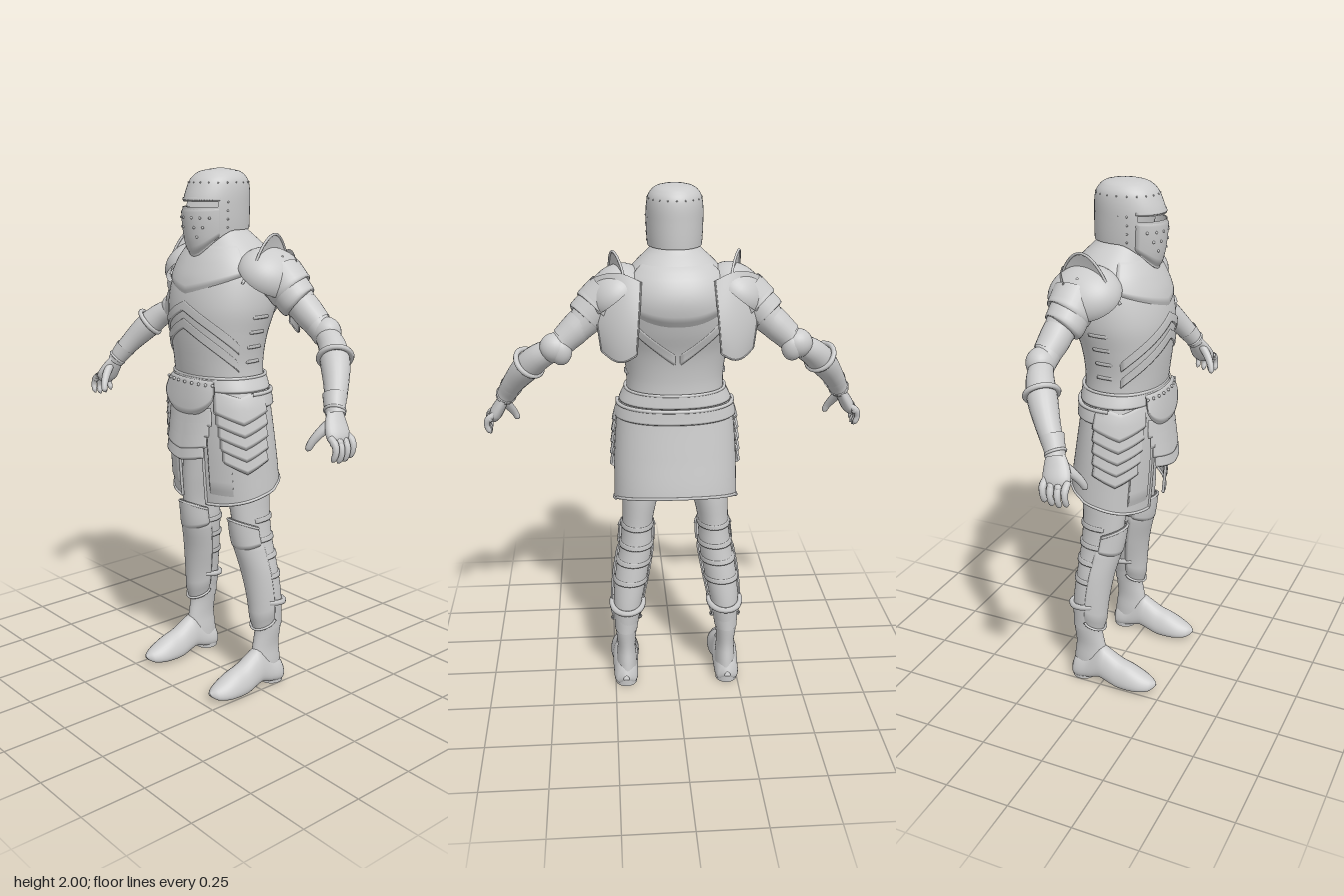
import * as THREE from 'three';
import { ParametricGeometry } from 'three/addons/geometries/ParametricGeometry.js';

const steel = new THREE.MeshStandardMaterial({ color: 0xcccccc, side: THREE.DoubleSide });
const V = (x, y, z) => new THREE.Vector3(x, y, z);
const PI = Math.PI, TAU = PI * 2;
const val = (f, t) => (typeof f === 'function' ? f(t) : f);
const pow = (n, e) => Math.sign(n) * Math.abs(n) ** e;

// Smooth interpolation of rows keyed by their first column
function sample(rows, k) {
  let i = 0;
  while (i < rows.length - 2 && k > rows[i + 1][0]) i++;
  const a = rows[i], b = rows[i + 1], p = rows[i - 1] || a, q = rows[i + 2] || b;
  const h = b[0] - a[0], t = Math.min(1, Math.max(0, (k - a[0]) / h)), t2 = t * t, t3 = t2 * t;
  return a.map((_, c) => {
    const m0 = (b[c] - p[c]) / (b[0] - p[0]) * h, m1 = (q[c] - a[c]) / (q[0] - a[0]) * h;
    return (2 * t3 - 3 * t2 + 1) * a[c] + (t3 - 2 * t2 + t) * m0 + (3 * t2 - 2 * t3) * b[c] + (t3 - t2) * m1;
  });
}

// Body surface from rows [y, halfWidth, zFront, zBack, xCentre]; angle 0 is the front
const skin = (rows, e = 1) => (th, y, o = 0) => {
  const [, w, zf, zb, cx = 0] = sample(rows, y);
  return V(cx + (w + o) * pow(Math.sin(th), e), y, (zf + zb) / 2 + ((zf - zb) / 2 + o) * pow(Math.cos(th), e));
};

function add(parent, name, geo) {
  const m = new THREE.Mesh(geo, steel);
  m.name = name;
  parent.add(m);
  return m;
}
const surf = (g, name, f, nu = 32, nv = 14) =>
  add(g, name, new ParametricGeometry((u, v, t) => t.copy(f(u, v)), nu, nv));

// Plate lying on a skin, with a bevelled rim and optional flare at its lower edge
function plate(g, name, sk, t0, t1, lo, hi, o = 0.01, flare = 0, nu = 28, nv = 10) {
  const closed = t1 - t0 > 6.2;
  return surf(g, name, (u, v) => {
    const rim = Math.min(1, closed ? 1 : Math.min(u, 1 - u) * nu, Math.min(v, 1 - v) * nv);
    const a = val(lo, u), y = a + (val(hi, u) - a) * v;
    return sk(t0 + (t1 - t0) * u, y, (o + flare * (1 - v)) - 0.009 * (1 - rim));
  }, nu, nv);
}

// Round limb through points [x, y, z, radius]
function limb(g, name, pts, nu = 20, nv = 24, flat = 1) {
  const curve = new THREE.CatmullRomCurve3(pts.map((p) => V(p[0], p[1], p[2])));
  const radii = pts.map((p, i) => [i / (pts.length - 1), p[3]]);
  return surf(g, name, (u, v) => {
    const t = curve.getTangent(v), n = V(0, 0, 1).cross(t).normalize(), b = t.clone().cross(n);
    const r = sample(radii, v)[1], a = u * TAU;
    return curve.getPoint(v).addScaledVector(n, Math.cos(a) * r * flat).addScaledVector(b, Math.sin(a) * r);
  }, nu, nv);
}
function ring(g, name, p, dir, R, r) {
  const m = add(g, name, new THREE.TorusGeometry(R, r, 8, 28));
  m.position.set(...p);
  m.lookAt(V(...p).add(V(...dir)));
}
function ball(g, name, r, pos, scale) {
  const m = add(g, name, new THREE.SphereGeometry(r, 24, 16));
  m.position.set(...pos);
  m.scale.set(...scale);
}
const cord = (g, name, f, r, n = 40) => add(g, name, new THREE.TubeGeometry(
  new THREE.CatmullRomCurve3(Array.from({ length: n + 1 }, (_, i) => f(i / n))), n * 2, r, 6));
const rivet = (g, p, r = 0.005) => add(g, 'rivet', new THREE.SphereGeometry(r, 8, 6)).position.copy(p);
const peak = (u) => 1 - Math.abs(2 * u - 1);

const torso = skin([[1.2, .185, .15, -.14], [1.3, .184, .163, -.14], [1.4, .198, .174, -.155], [1.5, .215, .178, -.19],
  [1.6, .21, .16, -.212], [1.67, .19, .13, -.195], [1.73, .14, .095, -.15], [1.78, .085, .07, -.1], [1.82, .06, .05, -.075]], .92);
const skirt = skin([[.74, .24, .135, -.195], [.86, .238, .145, -.19], [1, .234, .153, -.17], [1.14, .222, .156, -.15],
  [1.2, .207, .154, -.145], [1.25, .184, .15, -.14]], .9);
const helm = skin([[1.68, .078, .128, -.1], [1.76, .097, .147, -.112], [1.87, .104, .153, -.114], [1.94, .1, .13, -.11],
  [1.97, .087, .108, -.095], [1.99, .058, .072, -.065], [2, .003, .003, -.003]], .97);
const leg = skin([[.24, .045, -.01, -.135, .203], [.36, .056, -.002, -.135, .195], [.48, .064, .015, -.125, .178],
  [.6, .063, .045, -.115, .157], [.7, .06, .06, -.11, .15], [.82, .07, .07, -.115, .135], [1.05, .08, .07, -.11, .1]]);

function buildHelmet(g) {
  const hem = (u) => 1.78 - .095 * Math.max(0, Math.cos(u * TAU)) ** 1.6;
  const at = (lo, hi) => (u, v) => helm(u * TAU, val(lo, u) + (hi - val(lo, u)) * v);
  surf(g, 'helmetLower', at(hem, 1.863), 48, 14);
  surf(g, 'helmetCrown', at(1.881, 2), 48, 20);
  // Open eye slit between the cheeks
  surf(g, 'helmetBand', (u, v) => helm(1.05 + u * (TAU - 2.1), 1.863 + .018 * v), 40, 2);
  plate(g, 'visor', helm, -1.15, 1.15, (u) => hem((u * 2.3 - 1.15) / TAU), 1.861, .005);
  plate(g, 'browBand', helm, -1.15, 1.15, 1.882, 1.898, .003, 0, 28, 4);
  for (let i = 0; i < 20; i++) rivet(g, helm(i / 20 * TAU, 1.948), .003);
  for (const s of [-1, 1]) {
    for (let r = 0; r < 3; r++) for (let k = 0; k < 3 - r; k++)
      rivet(g, helm(s * (.2 + k * .3 + r * .08), 1.825 - r * .034, .005));
    for (let r = 0; r < 4; r++) rivet(g, helm(s * 1.35, 1.79 + r * .03), .004);
  }
}

function buildTorso(g) {
  surf(g, 'cuirass', (u, v) => torso(u * TAU, 1.2 + .62 * v), 56, 30);
  // Chevron bands below the upper breastplate
  [1.465, 1.53].forEach((y) => plate(g, 'chestChevron', torso, -1.3, 1.3,
    (u) => y - .2 + .16 * peak(u) ** .9, (u) => y - .16 + .16 * peak(u) ** .9, .006, 0, 40));
  plate(g, 'upperBreastplate', torso, -1.15, 1.15, (u) => 1.62 - .075 * peak(u), 1.73, .005, 0, 40);
  plate(g, 'upperBackplate', torso, PI - 1.1, PI + 1.1, (u) => 1.59 - .07 * Math.sin(u * PI), 1.73, .008, 0, 40);
  for (const s of [-1, 1]) {
    plate(g, 'backStrap', (t, y, o) => torso(PI + s * t, y, o), .02, 1.25,
      (u) => 1.36 + .2 * u, (u) => 1.41 + .2 * u, .006, 0, 30, 6);
    for (let i = 0; i < 4; i++)
      plate(g, 'sideStrap', torso, s * 1.65 - .2, s * 1.65 + .2, 1.3 + i * .055, 1.315 + i * .055, .007, 0, 8, 4);
  }
  limb(g, 'neck', [[0, 1.72, -.02, .06], [0, 1.77, -.01, .065], [0, 1.83, 0, .06], [0, 1.835, 0, .002]]);
}

function buildSkirt(g) {
  const t0 = .27, span = TAU - 2 * t0;
  const hem = (u) => .796 - .048 * Math.cos(t0 + u * span) + (Math.abs(u - .5) < .22 ? .006 : 0);
  surf(g, 'skirt', (u, v) => skirt(t0 + u * span, hem(u) + (1.24 - hem(u)) * v), 64, 20);
  cord(g, 'skirtHem', (u) => skirt(t0 + u * span, hem(u) + .006), .006, 60);
  for (const s of [-1, 1]) {
    cord(g, 'skirtFrontEdge', (u) => skirt(s * t0, .755 + .35 * u), .006, 10);
    plate(g, 'skirtFrontPanel', skirt, s > 0 ? .36 : -.85, s > 0 ? .85 : -.36, .785, 1.14, .005);
    // Overlapping hip lames
    for (let i = 0; i < 5; i++) plate(g, 'hipLame', skirt, s * 1.15 - .6 + .03 * i, s * 1.15 + .6 - .03 * i,
      (u) => 1.12 - i * .046 - .045 * peak(u), (u) => 1.21 - i * .05 - .03 * peak(u), .008, .01);
  }
  // Front fauld and its chevron lames, standing out most along the middle
  const keeled = (t, y, o) => skirt(t, y, o * Math.cos(2.2 * t));
  for (let i = 3; i >= 0; i--) {
    const w = .5 - .045 * i;
    plate(g, 'frontLame', keeled, -w, w, (u) => 1.07 - i * .04 - .022 * peak(u),
      (u) => 1.14 - i * .045 - .02 * peak(u), .022 + .008 * i, .012);
  }
  plate(g, 'bellyPlate', skirt, -.62, .62, (u) => 1.2 - .1 * Math.sin(u * PI) ** .6, 1.24, .02, .01);
  plate(g, 'belt', skirt, 0, TAU, 1.195, 1.25, .007, 0, 56);
  cord(g, 'beltTopRoll', (u) => skirt(u * TAU, 1.248, .004), .006, 50);
  plate(g, 'backBelt', skirt, PI - 1.7, PI + 1.7, 1.135, 1.19, .011, 0, 40);
  cord(g, 'backBeltRoll', (u) => skirt(PI - 1.7 + 3.4 * u, 1.19, .009), .008);
  for (let i = -4; i <= 4; i++) rivet(g, skirt(i * .15, 1.226, .023), .006);
  surf(g, 'pelvis', (u, v) => V(.15 * Math.sin(u * TAU) * Math.sin(.05 + v * 1.5), .95 + .2 * v,
    -.02 + .1 * Math.cos(u * TAU) * Math.sin(.05 + v * 1.5)), 32, 10);
}

function buildArm(g) {
  limb(g, 'upperArm', [[.19, 1.63, -.07, .07], [.27, 1.585, -.08, .074], [.35, 1.51, -.1, .055], [.45, 1.42, -.115, .045]]);
  // Shoulder dome with lames running down the arm
  const axis = V(.75, -.6, -.05).normalize(), across = V(.6, .75, 0).normalize();
  surf(g, 'pauldron', (u, v) => {
    const a = u * TAU, k = Math.sin(.03 + v * 1.55), d = Math.cos(.03 + v * 1.55);
    return V(.208, 1.61, -.058).addScaledVector(across, .095 * d + .012)
      .addScaledVector(axis, .118 * k * Math.cos(a)).add(V(0, 0, .135 * k * Math.sin(a)));
  }, 36, 14);
  for (let i = 0; i < 2; i++) {
    const x = .28 + i * .035, y = 1.585 - i * .035;
    limb(g, 'shoulderLame', [[x - .04, y + .04, -.08, .084 - i * .01], [x, y, -.083, .084 - i * .01],
      [x + .018, y - .018, -.087, .08 - i * .01], [x + .02, y - .02, -.088, .05]], 28, 12);
  }
  // Upright leaf-shaped guard on the shoulder, set slantwise
  const leaf = (u, v) => {
    const h = Math.sin(u * PI) ** .7 * v;
    return V(.243 - .055 * u + .012 * h * h, 1.64 + .035 * u + .11 * h, .05 - .21 * u);
  };
  surf(g, 'neckGuard', leaf, 24, 10);
  cord(g, 'neckGuardRim', (u) => leaf(u, 1), .005, 24);
  cord(g, 'pauldronRim', (u) => V(.21 - .05 * u, 1.6 + .11 * Math.sin(u * PI * .8), .075 - .24 * u), .006, 20);
  // Rounded shoulder wing hanging behind the armpit
  const wing = (u, v) => V(.13 + .02 * v + u * (.175 - .05 * v), 1.68 - .25 * v - .03 * Math.sin(u * PI) * (2 * v - 1),
    -.165 - .055 * Math.sin(v * PI * .6) + .07 * u * u);
  surf(g, 'backWing', wing, 16, 16);
  cord(g, 'wingRim', (t) => (t < .4 ? wing(0, t / .4) : t < .6 ? wing((t - .4) / .2, 1) : wing(1, (1 - t) / .4)), .003, 40);
  // Elbow and forearm
  limb(g, 'rerebrace', [[.34, 1.525, -.097, .056], [.37, 1.495, -.102, .056], [.41, 1.46, -.11, .05]], 24, 8);
  ball(g, 'elbowCop', .058, [.44, 1.435, -.118], [1, .95, .9]);
  ball(g, 'elbowFan', .05, [.42, 1.425, -.135], [.8, 1, .7]);
  limb(g, 'forearm', [[.44, 1.43, -.115, .04], [.5, 1.395, -.09, .049], [.55, 1.345, -.055, .052], [.6, 1.28, -.01, .043], [.64, 1.215, .035, .034]]);
  ring(g, 'forearmCuff', [.54, 1.365, -.064], [.55, -.6, .45], .057, .01);
  // Gauntlet
  limb(g, 'gauntletCuff', [[.615, 1.255, .01, .043], [.635, 1.22, .03, .037], [.65, 1.195, .04, .034]], 24, 8);
  ring(g, 'wristRing', [.641, 1.21, .037], [.35, -.6, .4], .035, .005);
  limb(g, 'hand', [[.64, 1.215, .033, .03], [.663, 1.17, .05, .046], [.685, 1.13, .062, .05], [.695, 1.105, .065, .03], [.696, 1.1, .066, .002]], 20, 16, .5);
  for (let i = 0; i < 4; i++) {
    const z = .024 + i * .027, d = Math.abs(i - 1.6) * .008;
    limb(g, 'finger', [[.688, 1.135, z, .012], [.712, 1.105 + d, z, .013], [.72, 1.08 + d, z + .003, .011],
      [.712, 1.055 + d, z + .005, .01], [.705, 1.045 + d, z + .005, .002]], 10, 14);
    rivet(g, V(.707, 1.118, z), .014);
  }
  limb(g, 'thumb', [[.655, 1.18, .065, .017], [.638, 1.145, .097, .017], [.62, 1.11, .12, .014], [.61, 1.085, .128, .011], [.608, 1.077, .13, .002]], 12, 14);
}

function buildLeg(g) {
  surf(g, 'leg', (u, v) => leg(u * TAU, .24 + .81 * v), 36, 24);
  // Shin and knee plates over the front half
  plate(g, 'greave', leg, -1.5, 1.5, (u) => .285 - .045 * Math.sin(u * PI) ** .6, .61, .013);
  plate(g, 'kneePlate', leg, -1.35, 1.35, (u) => .595 - .025 * Math.sin(u * PI), (u) => .67 + .03 * Math.sin(u * PI), .016);
  cord(g, 'kneeRim', (u) => leg(-1.3 + 2.6 * u, .665 + .03 * Math.sin(u * PI), .014), .005, 20);
  cord(g, 'greaveRim', (u) => leg(-1.45 + 2.9 * u, .285 - .042 * Math.sin(u * PI) ** .6, .01), .005, 20);
  [.69, .61, .54, .46].forEach((y) =>
    plate(g, 'legStrap', leg, 1.2, TAU - 1.2, y - .011, y + .011, .006, 0, 28, 6));
  cord(g, 'bootTopRoll', (u) => leg(1.1 + u * (TAU - 2.2), .36 - .02 * Math.sin(u * PI), .007), .012);
  // Boot: shaft, foot widening to the sole, and heel
  const shaft = skin([[.05, .042, .015, -.137, .203], [.1, .04, .012, -.132, .203], [.16, .036, .0, -.125, .203],
    [.24, .043, -.015, -.132, .203], [.34, .055, -.004, -.14, .195]]);
  surf(g, 'bootShaft', (u, v) => shaft(u * TAU, .05 + .29 * v), 32, 14);
  const foot = [[-.142, .012, .05, .03], [-.125, .042, .09, .006], [-.06, .05, .12, .012], [-.01, .052, .16, .026],
    [.02, .054, .146, .02], [.07, .058, .117, .006], [.12, .058, .1, .004], [.17, .05, .077, .008], [.21, .029, .056, .018], [.227, .003, .042, .036]];
  surf(g, 'foot', (u, v) => {
    const z = -.142 + .369 * v, [, rx, top, sole] = sample(foot, z), a = (1 - u) * TAU;
    return V(.207 + rx * pow(Math.sin(a), .95), sole + (top - sole) * ((1 + Math.cos(a)) / 2) ** 1.8, z);
  }, 32, 32);
  const heel = add(g, 'bootHeel', new THREE.CylinderGeometry(.045, .043, .03, 24));
  heel.position.set(.206, .015, -.094);
  heel.scale.z = 1.05;
}

export function createModel() {
  const model = new THREE.Group();
  model.name = 'armouredFigure';
  const part = (name, build) => {
    const g = new THREE.Group();
    g.name = name;
    build(g);
    model.add(g);
    return g;
  };
  part('helmet', buildHelmet);
  part('torso', buildTorso);
  part('skirtArmour', buildSkirt);
  for (const [name, build] of [['Arm', buildArm], ['Leg', buildLeg]]) {
    const right = part('left' + name, build).clone();
    right.name = 'right' + name;
    right.scale.x = -1;
    model.add(right);
  }
  return model;
}
